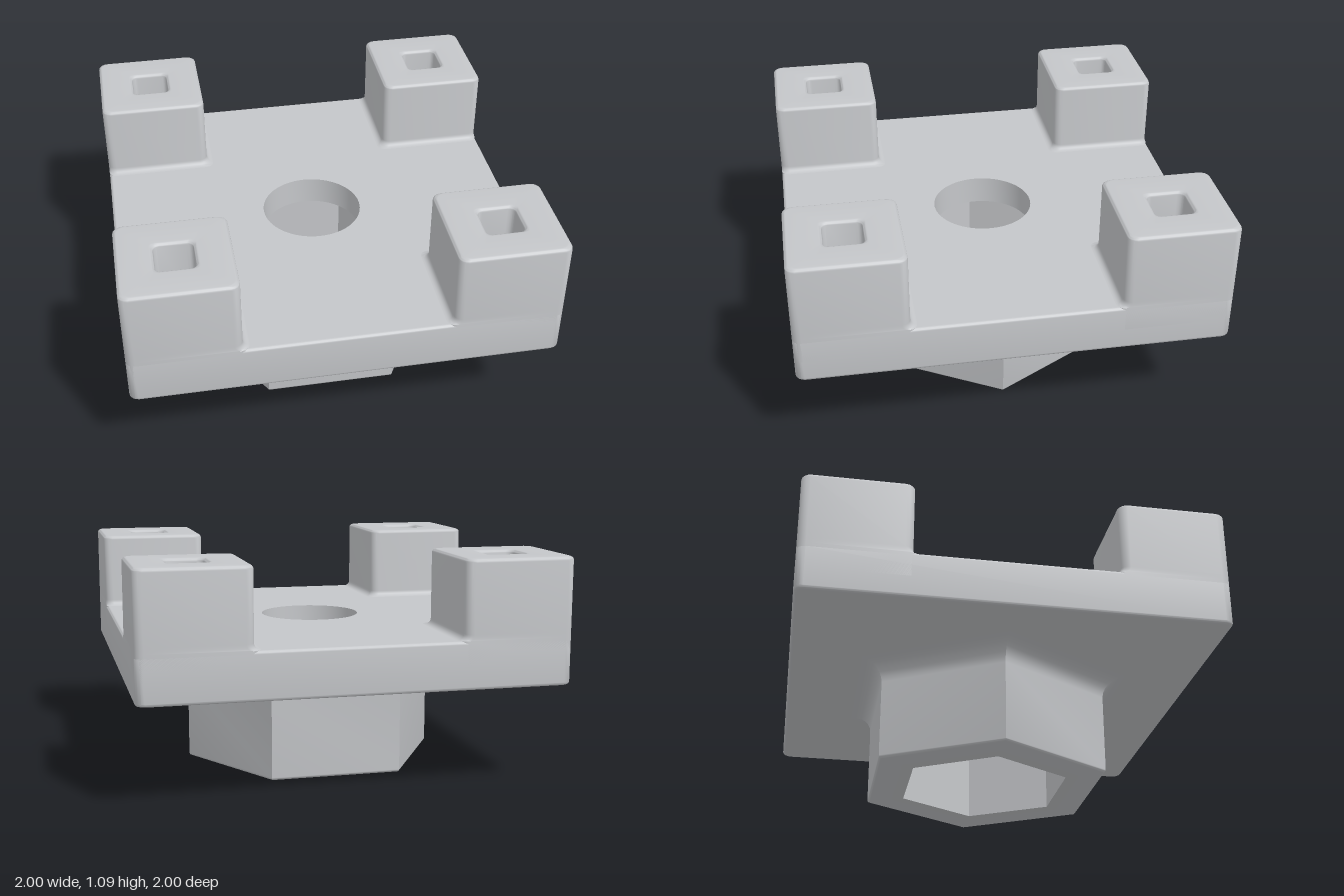
import * as THREE from 'three';
import { toCreasedNormals } from 'three/addons/utils/BufferGeometryUtils.js';

const PLATE_BOTTOM = 0.495, PLATE_TOP = 0.72, POST_TOP = 1.09, CEILING = 0.58;
const BORE = 0.245, CAVITY = 0.375; // bore radius, cavity apothem

// Outline of a rounded rectangle, counterclockwise seen from above ([x, -z])
function roundedRect(x0, x1, z0, z1, r) {
  const pts = [];
  const corners = [[x1 - r, -z0 - r], [x0 + r, -z0 - r], [x0 + r, -z1 + r], [x1 - r, -z1 + r]];
  corners.forEach(([cx, cy], q) => {
    for (let i = 0; i <= 4; i++) {
      const a = (q + i / 4) * Math.PI / 2;
      pts.push([cx + r * Math.cos(a), cy + r * Math.sin(a)]);
    }
  });
  return pts;
}
const square = (h, r, c = 0) => roundedRect(c - h, c + h, c - h, c + h, r);

// Regular outline with n sides and a corner on +x
function polygon(n, radius) {
  return Array.from({ length: n }, (_, i) => {
    const a = i / n * Math.PI * 2;
    return [radius * Math.cos(a), radius * Math.sin(a)];
  });
}
const hexagon = apothem => polygon(6, apothem / Math.cos(Math.PI / 6));

// Skin over a list of { pts, y } rings
function loft(rings) {
  const n = rings[0].pts.length, pos = [], index = [];
  rings.forEach(({ pts, y }) => pts.forEach(p => pos.push(p[0], y, -p[1])));
  for (let i = 0; i < rings.length - 1; i++) {
    for (let j = 0; j < n; j++) {
      const a = i * n + j, b = i * n + (j + 1) % n;
      index.push(a, b, a + n, b, b + n, a + n);
    }
  }
  const g = new THREE.BufferGeometry();
  g.setAttribute('position', new THREE.Float32BufferAttribute(pos, 3));
  g.setIndex(index);
  return toCreasedNormals(g, 0.6);
}

// Flat horizontal face with a hole
function face(outer, hole, y, up) {
  const toVec = p => new THREE.Vector2(p[0], p[1]);
  const shape = new THREE.Shape(outer.map(toVec));
  shape.holes.push(new THREE.Path(hole.map(toVec)));
  return new THREE.ShapeGeometry(shape).rotateX(up ? -Math.PI / 2 : Math.PI / 2).translate(0, y, 0);
}

// Quarter-turn steps for rounded edges
const quarter = fn => Array.from({ length: 7 }, (_, i) => fn(i / 6 * Math.PI / 2));

export function createModel() {
  const model = new THREE.Group();
  const grey = new THREE.MeshStandardMaterial({ color: 0xc4c6c9 });
  grey.name = 'light grey';
  const add = (name, geometry, parent = model) => {
    const mesh = new THREE.Mesh(geometry, grey);
    mesh.name = name;
    parent.add(mesh);
    return mesh;
  };

  // Square plate: rounded rim, top and underside
  const plate = new THREE.Group();
  plate.name = 'plate';
  model.add(plate);
  const e = 0.015, circle = polygon(64, BORE);
  add('plateRim', loft([
    ...quarter(a => ({ pts: square(1 - e + e * Math.sin(a), 0.04), y: PLATE_BOTTOM + e - e * Math.cos(a) })),
    ...quarter(a => ({ pts: square(1 - e + e * Math.cos(a), 0.04), y: PLATE_TOP - e + e * Math.sin(a) })),
  ]), plate);
  add('plateTop', face(square(1 - e, 0.04), circle, PLATE_TOP, true), plate);
  add('plateUnderside', face(square(1 - e, 0.04), hexagon(0.65), PLATE_BOTTOM, false), plate);

  // Round bore through the plate, and the ceiling of the hexagonal pocket
  add('bore', loft([{ pts: circle, y: PLATE_TOP }, { pts: circle, y: CEILING }]), plate);
  add('pocketCeiling', face(hexagon(CAVITY), circle, CEILING, false), plate);

  // Hexagonal socket: pocket wall, lower rim, outer wall and flared neck
  const apothem = 0.55, flare = 0.1;
  add('hexSocket', loft([
    { pts: hexagon(CAVITY), y: CEILING },
    { pts: hexagon(CAVITY), y: 0 },
    ...quarter(a => ({ pts: hexagon(apothem - e + e * Math.sin(a)), y: e - e * Math.cos(a) })),
    ...quarter(a => ({
      pts: hexagon(apothem + flare - flare * Math.cos(a)),
      y: PLATE_BOTTOM - flare + flare * Math.sin(a),
    })),
  ]));

  // Corner post with filleted foot, rounded top and square blind hole
  const f = 0.03, t = 0.018, mid = 0.74, half = 0.09;
  const foot = inner => roundedRect(inner, 1, inner, 1, 0.04);
  const postGeometry = loft([
    { pts: foot(0.48 - f), y: 0.6 },
    ...quarter(a => ({ pts: foot(0.48 - f + f * Math.sin(a)), y: PLATE_TOP + f - f * Math.cos(a) })),
    ...quarter(a => ({ pts: square(0.26 - t + t * Math.cos(a), 0.04, mid), y: POST_TOP - t + t * Math.sin(a) })),
    ...quarter(a => ({ pts: square(half + t - t * Math.sin(a), 0.03, mid), y: POST_TOP - t + t * Math.cos(a) })),
    { pts: square(half, 0.03, mid), y: 0.79 },
    { pts: square(0.001, 0.0005, mid), y: 0.79 },
  ]);
  ['frontLeftPost', 'backLeftPost', 'backRightPost', 'frontRightPost'].forEach((name, i) => {
    add(name, postGeometry).rotation.y = i * Math.PI / 2;
  });
  return model;
}
